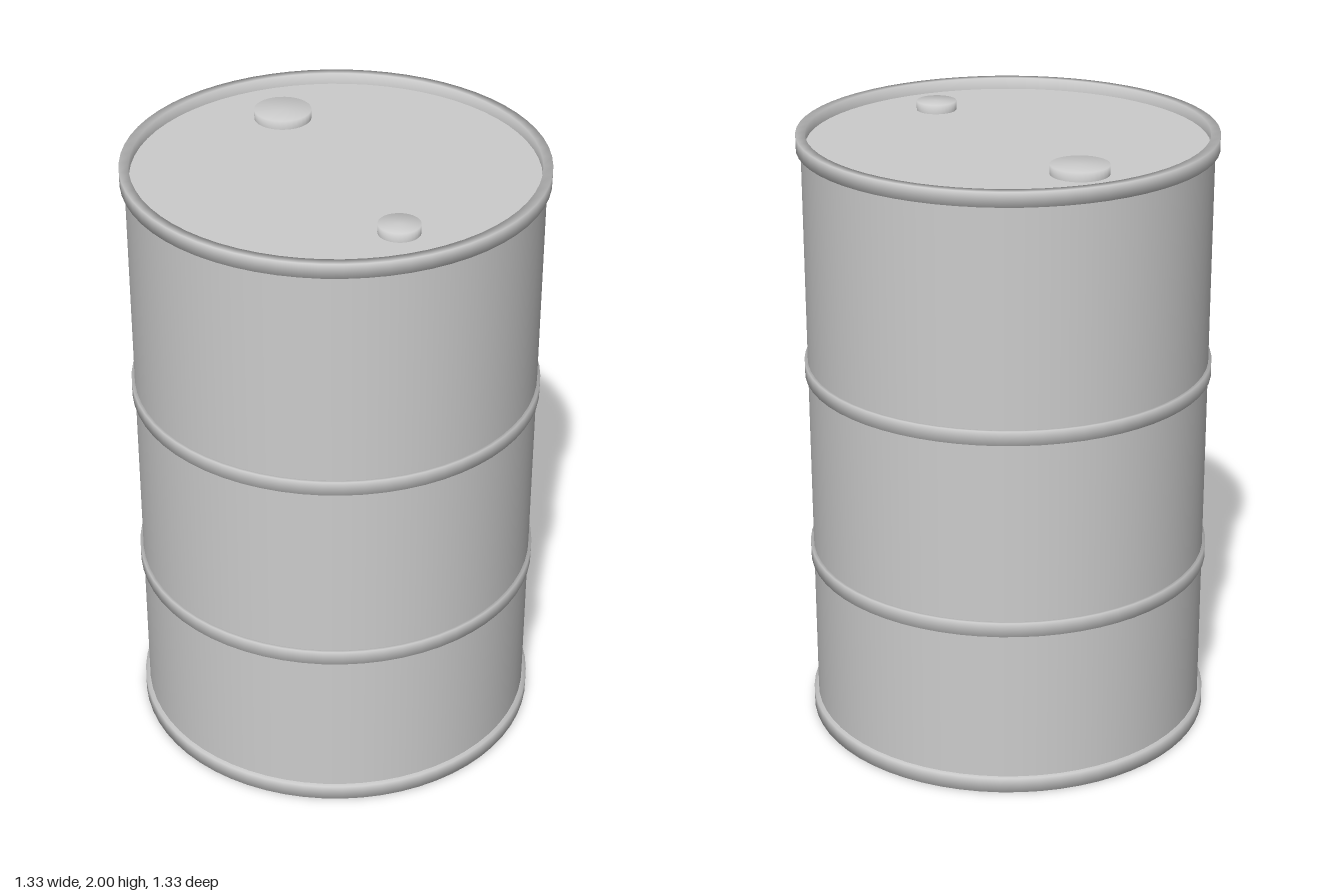
import * as THREE from 'three';

const SEGMENTS = 64;
const BODY_RADIUS = 0.65;
const RIM_INNER = 0.635;

export function createModel() {
  const model = new THREE.Group();
  model.name = 'drum';
  const steel = new THREE.MeshStandardMaterial({ color: 0xcccccc });
  steel.name = 'grey steel';

  const add = (name, geometry, x = 0, y = 0, z = 0) => {
    const mesh = new THREE.Mesh(geometry, steel);
    mesh.name = name;
    mesh.position.set(x, y, z);
    model.add(mesh);
  };
  const lathe = (points, segments = SEGMENTS) =>
    new THREE.LatheGeometry(points.map(([r, y]) => new THREE.Vector2(r, y)), segments);

  // Barrel wall with its recessed lid and base
  add('body', new THREE.CylinderGeometry(BODY_RADIUS, BODY_RADIUS, 1.925, SEGMENTS), 0, 1, 0);

  // Softly shaded bands; each profile starts and ends at a corner hidden in the wall
  const band = (name, outer, low, high, startAtTop = false) => {
    const corners = [[RIM_INNER, low], [outer, low], [outer, high], [RIM_INNER, high]];
    if (startAtTop) corners.unshift(corners.pop());
    add(name, lathe([...corners, corners[0]]));
  };
  band('bottomRim', 0.665, 0, 0.05, true);
  band('lowerRib', 0.66, 0.556, 0.604);
  band('upperRib', 0.66, 1.203, 1.25);
  band('topRim', 0.665, 1.953, 2);

  // Filler plugs on the lid
  const plug = (name, radius, x, z) =>
    add(name, lathe([[radius, 0], [radius, 0.032], [0, 0.032]], 32), x, 1.96, z);
  plug('largePlug', 0.092, -0.365, -0.197);
  plug('smallPlug', 0.065, 0.392, 0.206);

  return model;
}
